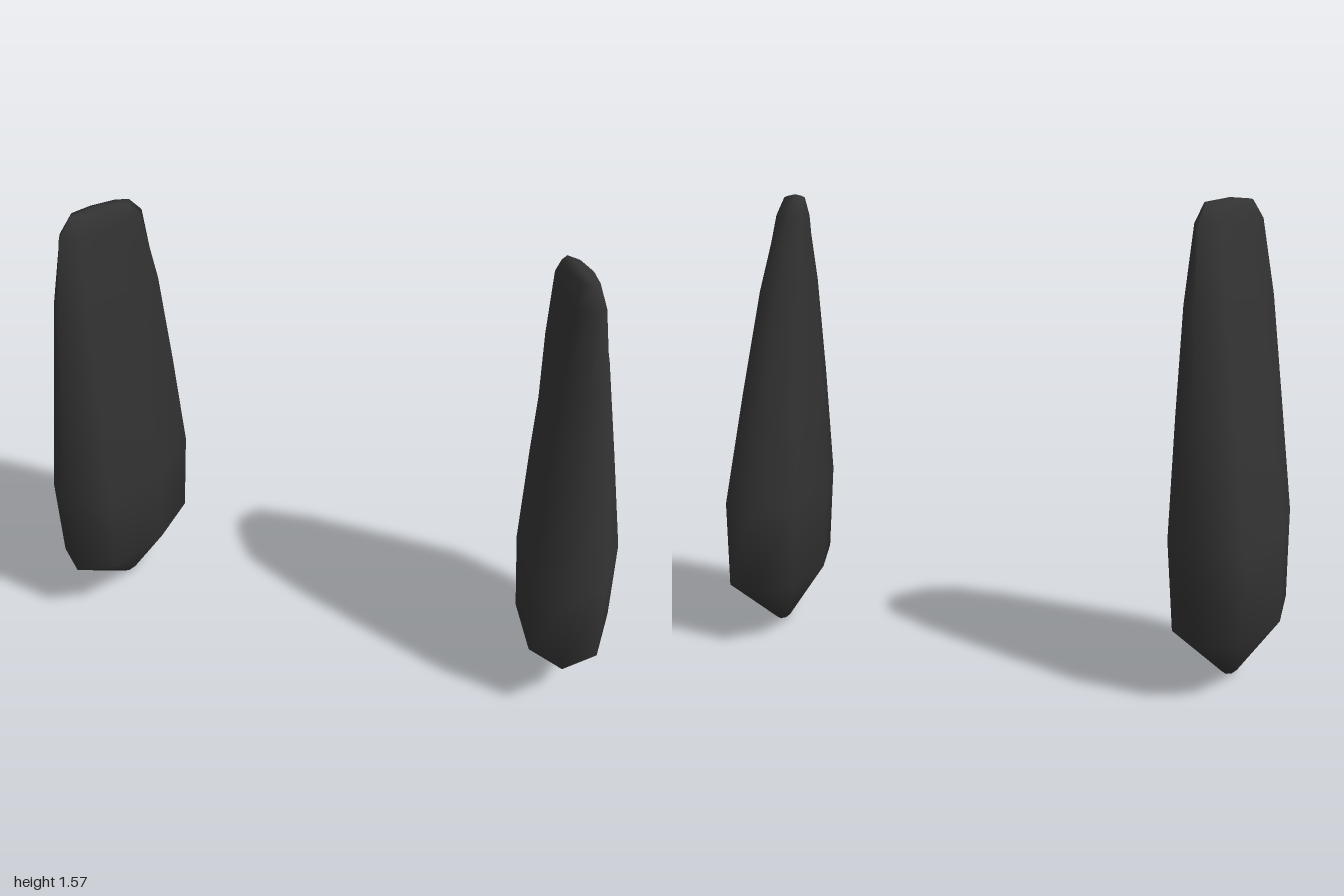
import * as THREE from 'three';
import { mergeVertices } from 'three/addons/utils/BufferGeometryUtils.js';

// Unit eight-sided cross-section, as x, z
const SECTION = [[-0.35, -1], [0.47, -0.79], [1, -0.09], [0.94, 0.65], [0.3, 0.98], [-0.47, 0.77], [-1, 0.06], [-1, -0.65]];

// Rings from tip to top: y, centre x, centre z, half width, half depth, skew of x with z
const RINGS = [
  [0.0, 0.84, 0, 0, 0, 0],
  [0.012, 0.84, 0, 0.022, 0.042, 0],
  [0.21, 0.84, 0, 0.16, 0.32, 0],
  [0.515, 0.83, 0, 0.17, 0.34, 0],
  [0.9, 0.81, 0.018, 0.135, 0.288, 0.06],
  [1.25, 0.793, 0.035, 0.1, 0.235, 0.15],
  [1.5, 0.78, 0.05, 0.063, 0.17, 0.28],
  [1.562, 0.775, 0.055, 0.04, 0.105, 0.4],
  [1.573, 0.775, 0.06, 0, 0, 0],
];

// Loft of the rings, mirrored in x when side is -1
function bladeGeometry(side) {
  const n = SECTION.length;
  const positions = [];
  const index = [];
  for (const [y, cx, cz, w, d, skew] of RINGS) {
    for (const [u, v] of SECTION) {
      const dz = v * d;
      positions.push(side * (cx + u * w + skew * dz), y + 0.05 * dz, cz + dz);
    }
  }
  const tri = (a, b, c) => (side > 0 ? index.push(a, b, c) : index.push(a, c, b));
  for (let j = 0; j < RINGS.length - 1; j++) {
    for (let i = 0; i < n; i++) {
      const a = j * n + i;
      const b = j * n + ((i + 1) % n);
      // The first and last rings are single points
      if (j > 0) tri(a, a + n, b);
      if (j < RINGS.length - 2) tri(b, a + n, b + n);
    }
  }
  const geometry = new THREE.BufferGeometry();
  geometry.setAttribute('position', new THREE.Float32BufferAttribute(positions, 3));
  geometry.setIndex(index);
  const merged = mergeVertices(geometry, 1e-5);
  merged.computeVertexNormals();
  return merged;
}

export function createModel() {
  const group = new THREE.Group();
  const charcoal = new THREE.MeshStandardMaterial({ color: 0x333333 });
  charcoal.name = 'charcoal';
  for (const [name, side] of [['leftBlade', 1], ['rightBlade', -1]]) {
    const blade = new THREE.Mesh(bladeGeometry(side), charcoal);
    blade.name = name;
    group.add(blade);
  }
  return group;
}
